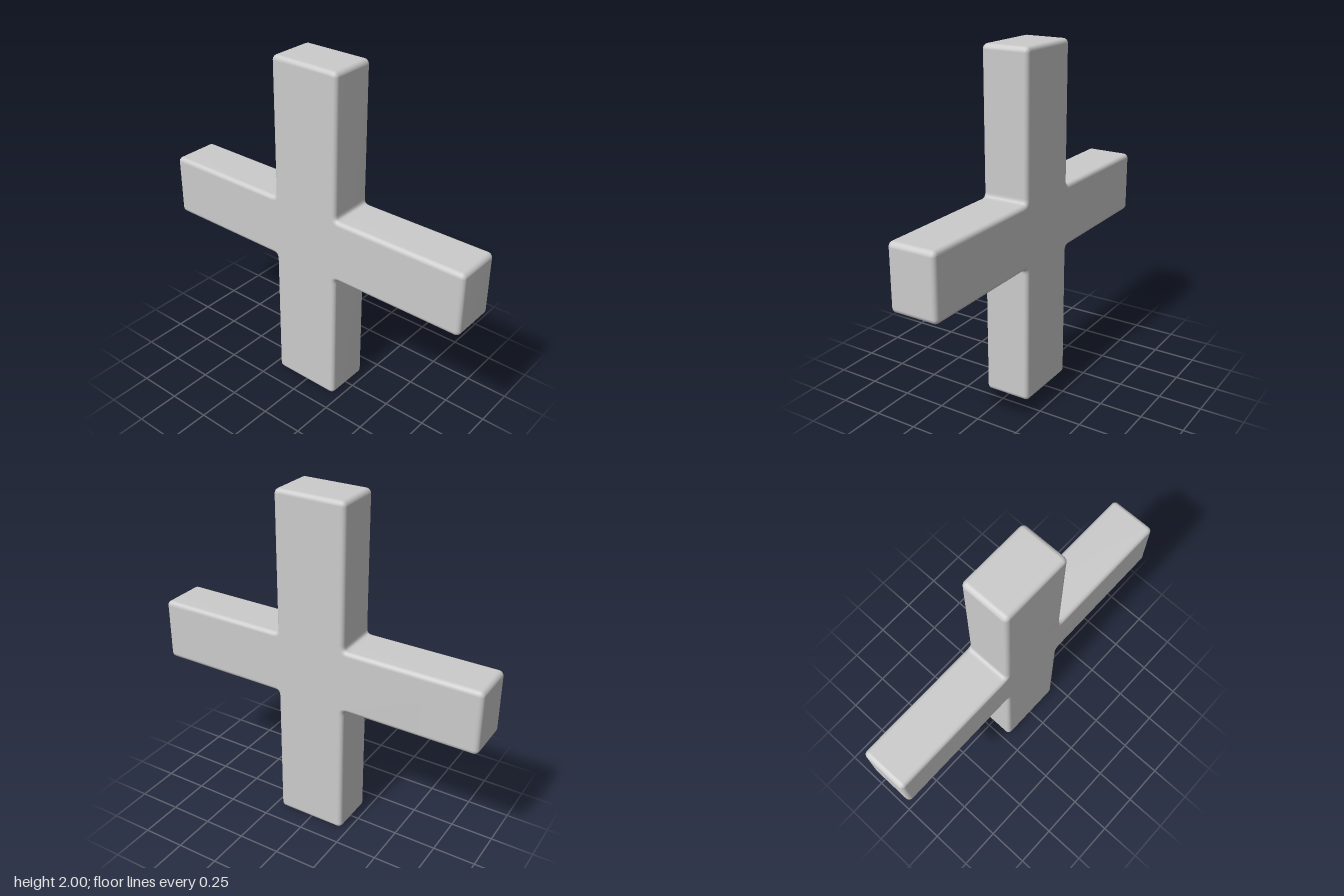
import * as THREE from 'three';
import { mergeVertices } from 'three/addons/utils/BufferGeometryUtils.js';

const HALF_LENGTH = 1;        // centre to arm tip
const POST = 0.21;            // half width of the upright
const BEAM = 0.185;           // half height of the crossbeam
const HALF_DEPTH = 0.139;     // half thickness
const BEVEL = 0.025;          // edge rounding
const OUTER = 0.005;          // tip corner radius before the bevel widens it
const INNER = 0.03 + BEVEL;   // inner fillet radius before the bevel shrinks it

// Cross outline with rounded tips and filleted inner corners
function crossShape() {
  const p = POST - BEVEL, h = BEAM - BEVEL, e = HALF_LENGTH - BEVEL;
  const corners = [
    [e, -h, OUTER], [e, h, OUTER], [p, h, INNER],
    [p, e, OUTER], [-p, e, OUTER], [-p, h, INNER],
    [-e, h, OUTER], [-e, -h, OUTER], [-p, -h, INNER],
    [-p, -e, OUTER], [p, -e, OUTER], [p, -h, INNER],
  ];
  const shape = new THREE.Shape();
  corners.forEach(([x, y, r], i) => {
    const here = new THREE.Vector2(x, y);
    const toward = (c) => new THREE.Vector2(c[0], c[1]).sub(here).setLength(r).add(here);
    const a = toward(corners[(i + 11) % 12]);
    const b = toward(corners[(i + 1) % 12]);
    if (i === 0) shape.moveTo(a.x, a.y);
    else shape.lineTo(a.x, a.y);
    shape.quadraticCurveTo(x, y, b.x, b.y);
  });
  shape.closePath();
  return shape;
}

export function createModel() {
  const depth = 2 * (HALF_DEPTH - BEVEL);
  let geometry = new THREE.ExtrudeGeometry(crossShape(), {
    depth, steps: 1, curveSegments: 6,
    bevelEnabled: true, bevelSize: BEVEL, bevelThickness: BEVEL, bevelSegments: 5,
  });
  geometry.translate(0, 0, -depth / 2);
  geometry.rotateY(Math.PI / 2);
  geometry.translate(0, 1, 0);

  // Shared vertices: the large flat faces dominate, the rounded edges blend smoothly
  geometry.deleteAttribute('uv');
  geometry.deleteAttribute('normal');
  geometry = mergeVertices(geometry, 1e-5);
  geometry.computeVertexNormals();

  const cross = new THREE.Mesh(geometry, new THREE.MeshStandardMaterial({ color: 0xcccccc }));
  cross.name = 'cross';

  const group = new THREE.Group();
  group.name = 'roundedCross';
  group.add(cross);
  return group;
}
